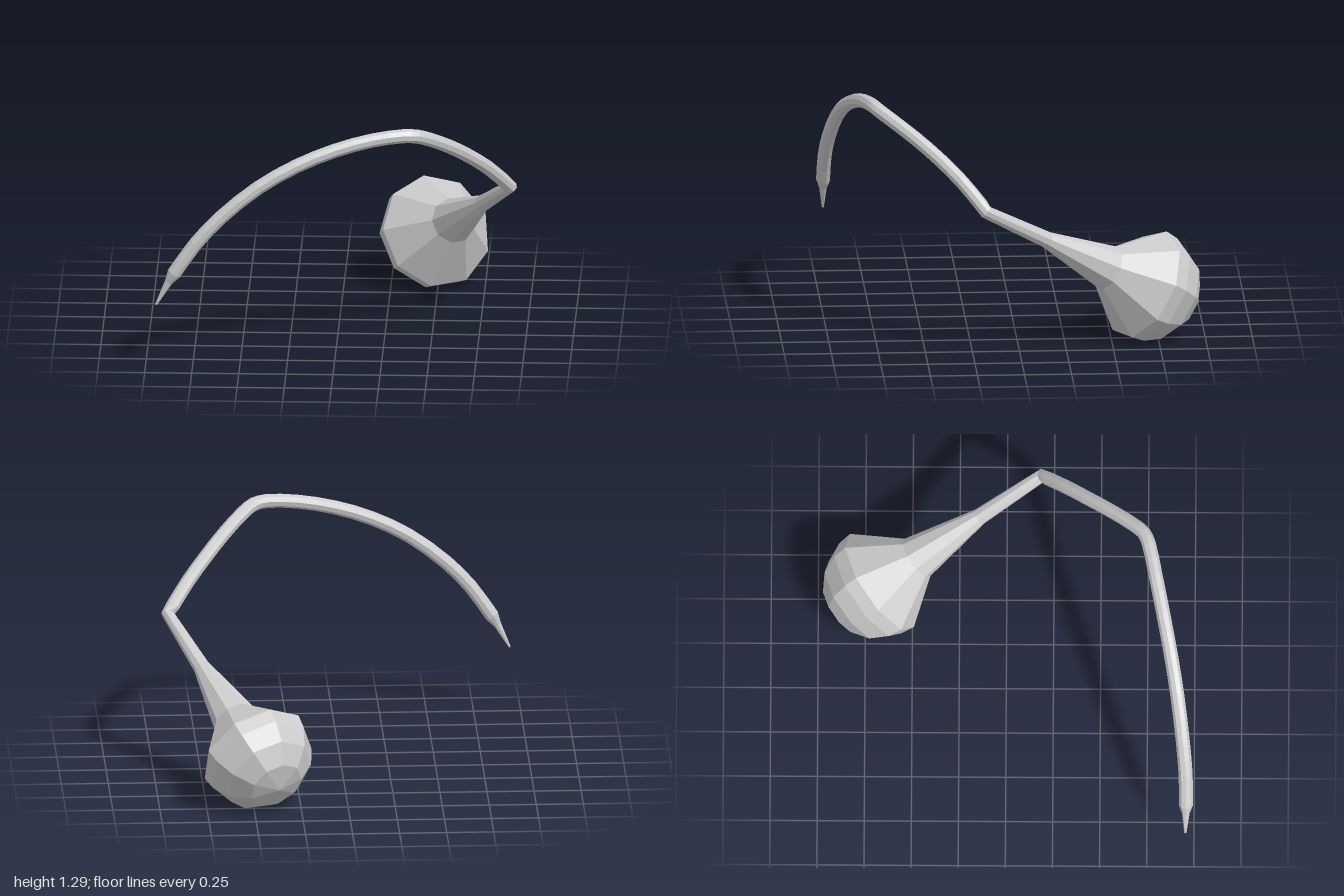
import * as THREE from 'three';

const SIDES = 9;
const v = (x, y, z) => new THREE.Vector3(x, y, z);

// Nine-sided rings along a path; frames are carried back from the bulb end.
function makeRings(stations, reference) {
  const n = stations.length;
  const dirs = [];
  for (let i = 0; i < n - 1; i++) dirs.push(stations[i + 1].p.clone().sub(stations[i].p).normalize());
  const normal = reference.clone();
  const rings = [];
  for (let i = n - 1; i >= 0; i--) {
    const before = dirs[Math.max(i - 1, 0)], after = dirs[Math.min(i, n - 2)];
    const tangent = before.clone().add(after).normalize();
    normal.addScaledVector(tangent, -normal.dot(tangent)).normalize();
    const binormal = tangent.clone().cross(normal);
    const ring = [];
    for (let j = 0; j < SIDES; j++) {
      const a = (j / SIDES) * Math.PI * 2;
      ring.push(stations[i].p.clone()
        .addScaledVector(normal, Math.cos(a) * stations[i].r)
        .addScaledVector(binormal, Math.sin(a) * stations[i].r));
    }
    rings[i] = ring;
  }
  return rings;
}

// Skin neighbouring rings with quads
function skin(rings, name, material) {
  const positions = [];
  const add = (...pts) => pts.forEach((p) => positions.push(p.x, p.y, p.z));
  for (let i = 0; i < rings.length - 1; i++) {
    for (let j = 0; j < SIDES; j++) {
      const k = (j + 1) % SIDES;
      const a = rings[i][j], b = rings[i][k], c = rings[i + 1][k], d = rings[i + 1][j];
      if (a.distanceTo(b) > 1e-6) add(a, b, c);
      if (c.distanceTo(d) > 1e-6) add(a, c, d);
    }
  }
  const geometry = new THREE.BufferGeometry();
  geometry.setAttribute('position', new THREE.Float32BufferAttribute(positions, 3));
  geometry.computeVertexNormals();
  const mesh = new THREE.Mesh(geometry, material);
  mesh.name = name;
  return mesh;
}

export function createModel() {
  const group = new THREE.Group();
  group.name = 'bulbOnCurvedStalk';
  const material = new THREE.MeshStandardMaterial({ color: 0xcccccc, flatShading: true });

  // Pointed tip
  const tip = [
    { p: v(-0.942, 0.372, 0.955), r: 0 },
    { p: v(-0.94, 0.376, 0.955), r: 0.006 },
    { p: v(-0.875, 0.5, 0.957), r: 0.021 },
  ];

  // Arched arm with a bend at its crest
  const arch = new THREE.CatmullRomCurve3([
    v(-0.845, 0.55, 0.958), v(-0.73, 0.715, 0.955), v(-0.6, 0.855, 0.94), v(-0.4, 1.015, 0.91),
    v(-0.2, 1.125, 0.873), v(0, 1.2, 0.832), v(0.2, 1.247, 0.79), v(0.36, 1.262, 0.756),
    v(0.43, 1.253, 0.728), v(0.49, 1.222, 0.672), v(0.6, 1.143, 0.545), v(0.7, 1.055, 0.425),
    v(0.8, 0.955, 0.31), v(0.885, 0.85, 0.213),
  ]);
  const arm = arch.getPoints(26).map((p) => ({ p, r: 0.038 }));

  // Straight stem flaring into a rounded bulb
  const elbow = v(0.913, 0.815, 0.185);
  const centre = v(0.49, 0.3, -0.675);
  const axis = centre.clone().sub(elbow).normalize();
  const reach = centre.distanceTo(elbow);
  const along = (d, r) => ({ p: elbow.clone().addScaledVector(axis, d), r });
  const R = 0.305;
  const bulb = [along(0, 0.036), along(0.42, 0.045), along(0.84, 0.122)];
  for (const deg of [0, 15, 37, 61, 90]) {
    const a = THREE.MathUtils.degToRad(deg);
    bulb.push(along(reach + Math.sin(a) * R, deg === 90 ? 0 : Math.cos(a) * R));
  }

  const rings = makeRings([...tip, ...arm, ...bulb], v(-0.08, 0.27, -0.14));
  const armStart = tip.length, stemStart = armStart + arm.length;
  group.add(
    skin(rings.slice(0, armStart + 1), 'pointedTip', material),
    skin(rings.slice(armStart, stemStart + 1), 'archedArm', material),
    skin(rings.slice(stemStart, stemStart + 3), 'stem', material),
    skin(rings.slice(stemStart + 2), 'bulb', material),
  );
  return group;
}
